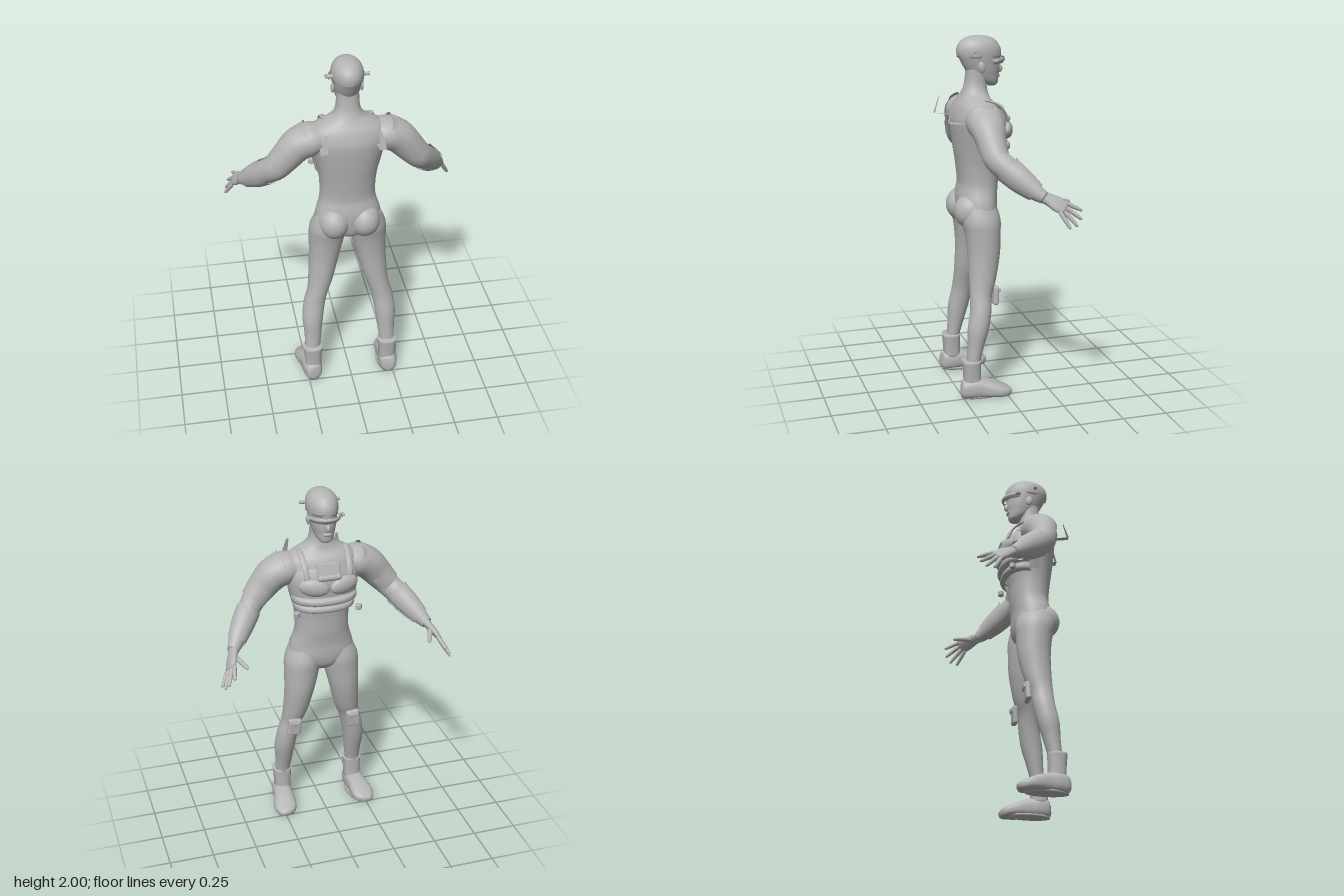
import * as THREE from 'three';
import { RoundedBoxGeometry } from 'three/addons/geometries/RoundedBoxGeometry.js';

const grey = new THREE.MeshStandardMaterial({ color: 0xb4b4b4, side: THREE.DoubleSide });
grey.name = 'plain grey';

// Smoothly resample rows of numbers (Catmull-Rom per column).
function smooth(rows, k) {
  const out = [], at = i => rows[Math.min(Math.max(i, 0), rows.length - 1)];
  for (let i = 0; i < rows.length - 1; i++) {
    for (let s = 0; s < k; s++) {
      const t = s / k;
      out.push(rows[i].map((b, c) => {
        const a = at(i - 1)[c], d = at(i + 1)[c], e = at(i + 2)[c];
        return b + 0.5 * t * (d - a + t * (2 * a - 5 * b + 4 * d - e + t * (3 * (b - d) + e - a)));
      }));
    }
  }
  out.push(rows[rows.length - 1]);
  return out;
}

// Loft of oval sections. Each row is [x, y, z, radiusU, radiusV].
// level: sections stay horizontal; otherwise they follow the path.
// arc: open shell between two angles, in units of pi.
function loft(rows, { n = 28, k = 4, level = false, ref = [0, 1, 0], p = 2, arc = null, jag = 0, floor = null } = {}) {
  const R = smooth(rows, k), pos = [], idx = [];
  const c = R.map(r => new THREE.Vector3(r[0], r[1], r[2]));
  const refV = new THREE.Vector3(...ref), cols = arc ? n + 1 : n;
  const pw = v => Math.sign(v) * Math.abs(v) ** (2 / p);
  R.forEach((r, i) => {
    const t = c[Math.min(i + 1, c.length - 1)].clone().sub(c[Math.max(i - 1, 0)]).normalize();
    const u = level ? new THREE.Vector3(1, 0, 0) : t.clone().cross(refV).normalize();
    const v = level ? new THREE.Vector3(0, 0, -1) : t.clone().cross(u);
    for (let j = 0; j < cols; j++) {
      const a = Math.PI * (arc ? arc[0] + (arc[1] - arc[0]) * j / n : 2 * j / n);
      const q = c[i].clone().addScaledVector(u, pw(Math.cos(a)) * r[3]).addScaledVector(v, pw(Math.sin(a)) * r[4]);
      if (i === 0) q.y += jag * Math.sign(Math.sin(a * 5 + 0.4));
      if (floor !== null) q.y = Math.max(q.y, floor);
      pos.push(q.x, q.y, q.z);
    }
  });
  for (let i = 0; i < R.length - 1; i++) {
    for (let j = 0; j < n; j++) {
      const a = i * cols + j, b = i * cols + (j + 1) % cols;
      idx.push(a, b, a + cols, b, b + cols, a + cols);
    }
  }
  if (!arc) {
    const m = pos.length / 3, last = (R.length - 1) * n;
    for (const q of [c[0], c[c.length - 1]]) pos.push(q.x, floor === null ? q.y : Math.max(q.y, floor), q.z);
    for (let j = 0; j < n; j++) {
      idx.push(m, (j + 1) % n, j, m + 1, last + j, last + (j + 1) % n);
    }
  }
  const g = new THREE.BufferGeometry();
  g.setAttribute('position', new THREE.Float32BufferAttribute(pos, 3));
  g.setIndex(idx);
  g.computeVertexNormals();
  return g;
}

// Level rows from [y, halfWidth, backZ, frontZ].
const upright = rows => rows.map(([y, w, b, f]) => [0, y, (b + f) / 2, w, (b - f) / 2]);

function add(group, name, geo, at = [0, 0, 0], scale = [1, 1, 1], rot = [0, 0, 0]) {
  const m = new THREE.Mesh(geo, grey);
  m.name = name;
  m.position.set(...at);
  m.scale.set(...scale);
  m.rotation.set(...rot);
  group.add(m);
  return m;
}

function buildSide(s) {
  const g = new THREE.Group(), ball = new THREE.SphereGeometry(1, 24, 16);

  // Leg, buttock and boot
  add(g, 'leg', loft([
    [.22, .1, .19, .04, .04], [.22, .2, .188, .043, .038], [.215, .3, .172, .05, .047], [.212, .4, .155, .06, .06],
    [.197, .5, .137, .062, .06], [.175, .58, .13, .062, .062], [.155, .66, .115, .072, .075], [.133, .8, .1, .086, .09],
    [.118, .92, .102, .1, .1], [.108, 1, .11, .105, .11], [.09, 1.08, .12, .09, .1]], { level: true }));
  add(g, 'buttock', ball, [.085, 1.045, .152], [.09, .1, .103]);
  add(g, 'bootCuff', loft([[.22, .08, .195, .047, .048], [.22, .15, .197, .05, .049], [.22, .22, .2, .056, .052]], { level: true, p: 2.6 }));
  add(g, 'shoe', loft([
    [.22, .05, .262, .025, .025], [.222, .05, .247, .045, .05], [.225, .055, .2, .056, .058], [.23, .052, .14, .058, .055],
    [.238, .042, .08, .065, .045], [.245, .03, .03, .064, .034], [.25, .022, -.005, .045, .026], [.25, .018, -.021, .02, .012]],
    { p: 2.6, floor: 0.004 }));
  add(g, 'shoeSole', loft([[.222, 0, .14, .052, .118], [.222, .012, .14, .052, .118]], { level: true, k: 1 }));

  // Knee pad with a raised plate
  add(g, 'kneePad', new RoundedBoxGeometry(.08, .105, .03, 3, .012), [.178, .575, .05], [1, 1, 1], [-.06, 0, .1]);
  add(g, 'kneePlate', new RoundedBoxGeometry(.06, .025, .014, 2, .005), [.176, .602, .032], [1, 1, 1], [-.06, 0, .1]);

  // Arm
  const arm = [
    [.12, 1.57, .115, .08, .06], [.2, 1.56, .115, .102, .09], [.27, 1.525, .115, .09, .088], [.33, 1.46, .115, .073, .08],
    [.385, 1.395, .105, .063, .07], [.43, 1.35, .06, .06, .067], [.48, 1.295, 0, .055, .062], [.53, 1.24, -.065, .042, .045],
    [.557, 1.212, -.105, .032, .032]];
  add(g, 'arm', loft(arm));
  const grow = (rows, d) => rows.map(r => [r[0], r[1], r[2], r[3] + d, r[4] + d]);
  add(g, 'shoulderGuard', loft(grow(arm.slice(1, 5), .007), { arc: [1.15, 1.85], jag: .008 }));
  add(g, 'upperArmBand', loft(grow(arm.slice(3, 5), .005), { arc: [.85, 2.1], jag: .006 }));
  add(g, 'forearmGuard', loft(grow(arm.slice(5, 8), .008), { arc: [.9, 1.8], jag: .006 }));
  add(g, 'forearmUnderGuard', loft(grow(arm.slice(5, 8), .008), { arc: [.1, .75] }));

  // Hand: palm, four fingers and thumb
  const ref = [-.83, -.55, 0];
  add(g, 'palm', loft([[.548, 1.222, -.09, .03, .026], [.562, 1.205, -.125, .034, .022], [.58, 1.182, -.165, .042, .018],
    [.596, 1.155, -.205, .038, .013]], { ref, p: 2.4, n: 20 }));
  const tips = [[.595, 1.14, -.3], [.625, 1.1, -.288], [.64, 1.068, -.26], [.648, 1.06, -.218]];
  tips.forEach((tip, i) => {
    const d = (i - 1.5) * .021, base = [.59 + .42 * d, 1.163 - .63 * d, -.195 + .65 * d];
    const mix = (t, r) => [0, 1, 2].map(c => base[c] + (tip[c] - base[c]) * t).concat([r, r]);
    add(g, 'finger', loft([mix(0, .012), mix(.5, .0115), mix(.93, .008), mix(1, .002)], { n: 12, ref }));
  });
  add(g, 'thumb', loft([[.565, 1.2, -.13, .016, .016], [.542, 1.19, -.19, .014, .014], [.517, 1.175, -.248, .01, .01],
    [.511, 1.17, -.26, .002, .002]], { n: 12, ref }));

  // Back fin: a small shelf with an upright pointed blade
  const fin = new THREE.BufferGeometry();
  fin.setAttribute('position', new THREE.Float32BufferAttribute([
    .13, 1.545, .2, .167, 1.545, .2, .175, 1.555, .3, .137, 1.56, .3, .135, 1.658, .275, .15, 1.658, .273], 3));
  fin.setIndex([0, 1, 2, 0, 2, 3, 3, 2, 5, 3, 5, 4]);
  const finFlat = fin.toNonIndexed();
  finFlat.computeVertexNormals();
  add(g, 'backFin', finFlat);

  // Ear, headset button and visor hinge
  add(g, 'ear', ball, [.077, 1.835, .09], [.01, .03, .02], [.2, 0, 0]);
  add(g, 'headsetButton', new THREE.CylinderGeometry(.01, .01, .03, 14), [.097, 1.92, .125], [1, 1, 1], [0, 0, Math.PI / 2]);
  add(g, 'visorHinge', new RoundedBoxGeometry(.03, .014, .03, 2, .004), [.092, 1.868, .02]);

  // Vest pod, shoulder strap and raised breast panel
  add(g, 'vestPod', new RoundedBoxGeometry(.032, .032, .03, 2, .007), [.177, 1.335, -.03], [1, 1, 1], [0, .5, 0]);
  add(g, 'strap', loft([[.12, 1.54, -.045, .016, .006], [.125, 1.6, -.02, .016, .006], [.13, 1.645, .03, .016, .006],
    [.13, 1.665, .09, .016, .006]], { ref: [0, 0, 1], n: 12 }));
  add(g, 'breastPanel', ball, [.085, 1.49, -.048], [.085, .05, .032], [0, -.25, .15]);

  if (s < 0) g.scale.x = -1;
  g.name = s > 0 ? 'leftSide' : 'rightSide';
  return g;
}

export function createModel() {
  const model = new THREE.Group();
  model.name = 'figure';

  // Torso and neck
  add(model, 'torso', loft(upright([
    [.935, .06, .16, .05], [.97, .13, .2, .015], [1.03, .185, .215, 0], [1.1, .178, .22, 0], [1.15, .162, .213, -.005],
    [1.2, .153, .206, -.01], [1.3, .156, .216, -.015], [1.4, .174, .23, -.028], [1.5, .2, .24, -.03], [1.56, .212, .24, -.02],
    [1.62, .2, .222, 0], [1.66, .14, .2, .03], [1.69, .088, .185, .04], [1.73, .066, .17, .046], [1.78, .061, .162, .045],
    [1.83, .06, .16, .04]]), { level: true, n: 40, p: 2.25 }));

  // Head and cap
  add(model, 'head', loft(upright([
    [1.724, .018, .035, -.005], [1.735, .036, .06, -.018], [1.755, .05, .1, -.022], [1.785, .061, .14, -.025],
    [1.82, .07, .166, -.03], [1.86, .077, .188, -.03], [1.9, .081, .205, -.033], [1.94, .08, .2, -.028]]),
    { level: true, n: 36 }));
  add(model, 'cap', loft(upright([
    [1.89, .085, .208, -.039], [1.92, .086, .212, -.037], [1.95, .08, .204, -.024], [1.975, .064, .183, -.002],
    [1.992, .04, .15, .035], [1.999, .012, .105, .075], [2, .001, .09, .088]]), { level: true, n: 44, jag: .007 }));
  add(model, 'nose', new THREE.SphereGeometry(1, 16, 12), [0, 1.815, -.03], [.013, .023, .018]);
  add(model, 'mouth', new THREE.SphereGeometry(1, 16, 12), [0, 1.778, -.02], [.024, .012, .012]);
  add(model, 'visor', loft(upright([[1.848, .09, .18, -.046], [1.866, .1, .19, -.06], [1.88, .098, .19, -.055]]),
    { level: true, arc: [.1, .9], n: 24 }));

  // Chest vest: shell, ribbed lower band, collar plate and chest bar
  const vest = { level: true, n: 40, p: 2.3 };
  add(model, 'vestShell', loft(upright([
    [1.34, .166, .21, -.045], [1.39, .18, .22, -.052], [1.44, .192, .22, -.056], [1.5, .196, .22, -.062],
    [1.55, .185, .2, -.055], [1.59, .15, .18, -.042]]), { ...vest, arc: [-.08, 1.08] }));
  for (const [y, w, z] of [[1.35, .168, -.06], [1.4, .18, -.075]]) {
    add(model, 'vestBand', loft(upright([[y - .025, w - .008, .2, z + .025], [y - .012, w + .004, .2, z],
      [y + .012, w + .006, .2, z], [y + .025, w, .2, z + .02]]), { ...vest, arc: [0, 1] }));
  }
  add(model, 'collarPlate', new RoundedBoxGeometry(.13, .07, .02, 3, .008), [0, 1.585, -.035], [1, 1, 1], [.35, 0, 0]);
  add(model, 'chestBar', new THREE.CapsuleGeometry(.018, .1, 6, 16), [0, 1.545, -.06], [1, 1, 1], [0, 0, Math.PI / 2]);

  model.add(buildSide(1), buildSide(-1));
  return model;
}
